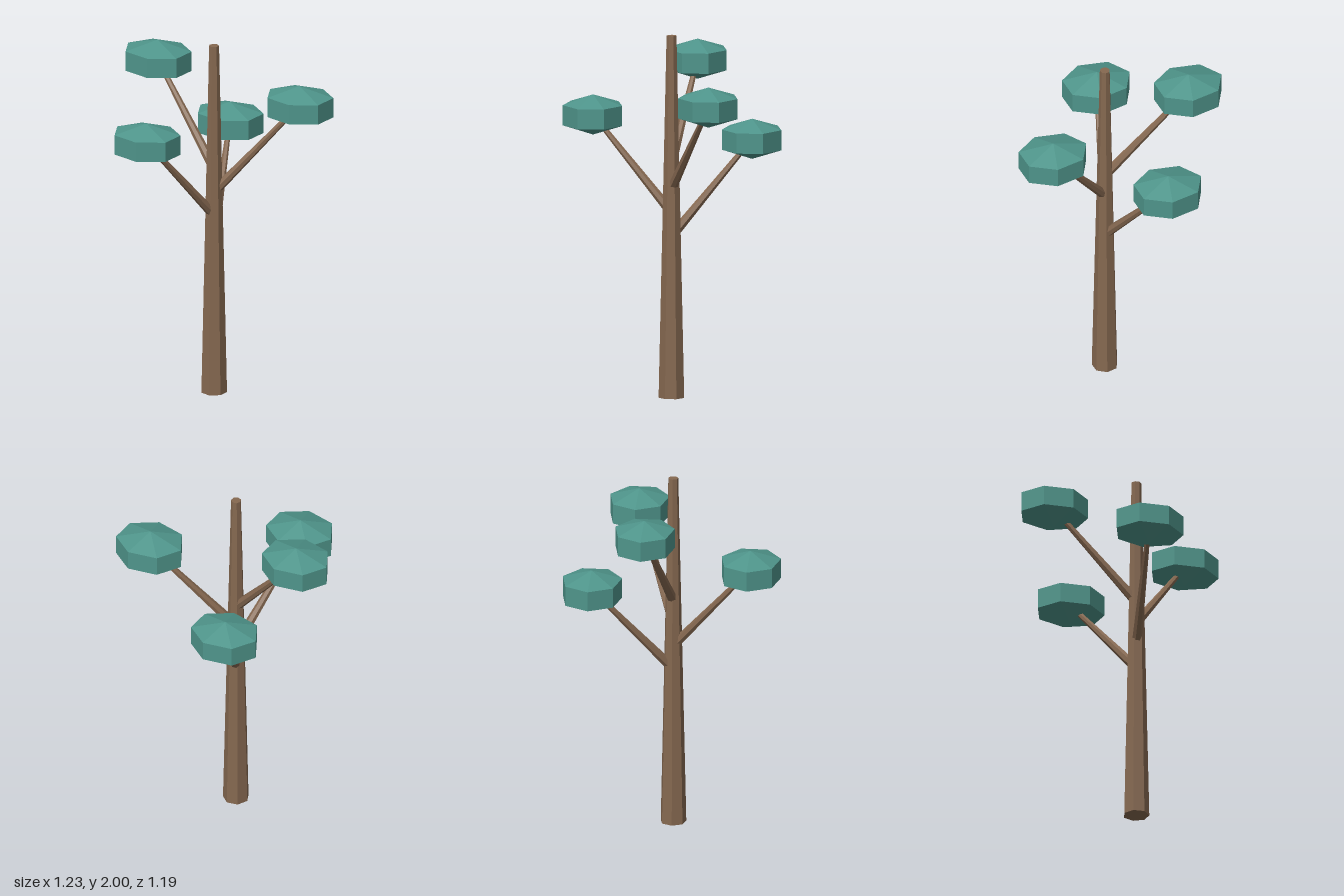
import * as THREE from 'three';

const SIDES = 7;

export function createModel() {
  const tree = new THREE.Group();
  tree.name = 'tree';
  const bark = new THREE.MeshStandardMaterial({ color: 0x856850, flatShading: true });
  const leaf = new THREE.MeshStandardMaterial({ color: 0x4f958b, flatShading: true });

  const add = (name, geometry, material) => {
    const mesh = new THREE.Mesh(geometry, material);
    mesh.name = name;
    tree.add(mesh);
    return mesh;
  };

  // Tapered seven-sided pole from one point to another
  const pole = (name, from, to, rFrom, rTo) => {
    const dir = to.clone().sub(from);
    const geometry = new THREE.CylinderGeometry(rTo, rFrom, dir.length(), SIDES);
    geometry.rotateY(-Math.PI / 2);
    const mesh = add(name, geometry, bark);
    mesh.position.copy(from).lerp(to, 0.5);
    mesh.quaternion.setFromUnitVectors(new THREE.Vector3(0, 1, 0), dir.normalize());
  };

  // Trunk
  const onAxis = (y) => new THREE.Vector3(0.031, y, -0.009);
  pole('trunk', onAxis(0), onAxis(2), 0.072, 0.028);

  // Branches rise from the trunk axis, each ending in a flattened leaf clump
  const rise = 0.514;
  const clumps = [
    [-0.162, 1.404, -0.435],
    [-0.11, 1.536, 0.432],
    [0.437, 1.669, -0.242],
    [-0.42, 1.802, -0.116],
  ];
  const clumpGeometry = new THREE.SphereGeometry(1, SIDES, 3);
  clumpGeometry.scale(0.225, 0.111, 0.193);
  clumps.forEach((p, i) => {
    const tip = new THREE.Vector3(...p);
    pole(`branch${i + 1}`, onAxis(tip.y - rise), tip, 0.028, 0.013);
    add(`leafClump${i + 1}`, clumpGeometry, leaf).position.copy(tip);
  });

  return tree;
}
